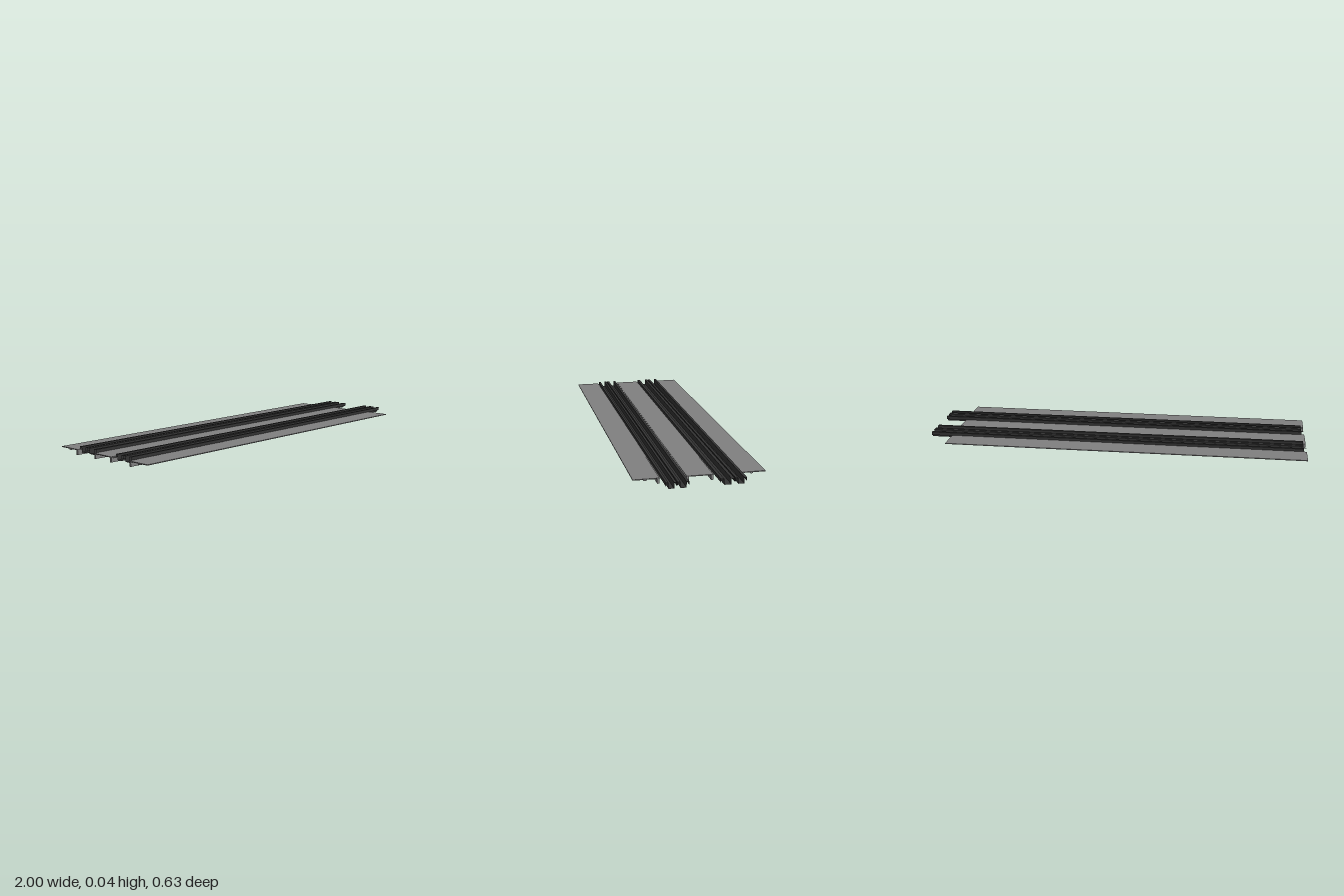
import * as THREE from 'three';

const plateGrey = new THREE.MeshStandardMaterial({ color: 0x808080, flatShading: true, side: THREE.DoubleSide });
const railDark = new THREE.MeshStandardMaterial({ color: 0x333333, flatShading: true, side: THREE.DoubleSide });

const X0 = -1, X1 = 0.887;          // extent of the fixed plates
const RAIL0 = -0.985, RAIL1 = 1;    // extent of the sliding rails

// Bar running along x, given by its y and z ranges
function bar(name, y0, y1, z0, z1) {
  const mesh = new THREE.Mesh(new THREE.BoxGeometry(X1 - X0, y1 - y0, z1 - z0), plateGrey);
  mesh.position.set((X0 + X1) / 2, (y0 + y1) / 2, (z0 + z1) / 2);
  mesh.name = name;
  return mesh;
}

// Thin sheet: a [z, y] profile swept along x, with open ends
function sweptSheet(name, profile, x0, x1, material) {
  const pos = [], index = [];
  profile.forEach(([z, y], i) => {
    pos.push(x0, y, z, x1, y, z);
    if (i) {
      const a = 2 * i - 2;
      index.push(a, a + 2, a + 1, a + 1, a + 2, a + 3);
    }
  });
  const geo = new THREE.BufferGeometry();
  geo.setAttribute('position', new THREE.Float32BufferAttribute(pos, 3));
  geo.setIndex(index);
  geo.computeVertexNormals();
  const mesh = new THREE.Mesh(geo, material);
  mesh.name = name;
  return mesh;
}

// Channel with a sunken floor between two raised, turned-down lips
function channel(z0, z1) {
  const lip = (z1 - z0) * 0.24, top = 0.041, floor = 0.013, edge = 0.024;
  return sweptSheet('railChannel', [
    [z0, edge], [z0, top], [z0 + lip, top], [z0 + lip, floor],
    [z1 - lip, floor], [z1 - lip, top], [z1, top], [z1, edge],
  ], RAIL0, RAIL1, railDark);
}

export function createModel() {
  const model = new THREE.Group();
  model.name = 'slidingRailBed';

  // Middle plate with a flange down each edge
  const middle = new THREE.Group();
  middle.name = 'middlePlate';
  middle.add(bar('deck', 0.023, 0.027, -0.063, 0.063));
  for (const s of [-1, 1]) middle.add(bar('flange', 0, 0.023, s * 0.058 - 0.005, s * 0.058 + 0.005));
  model.add(middle);

  // Outer plates, each with an inner flange and a thin strip beneath
  for (const s of [1, -1]) {
    const outer = new THREE.Group();
    outer.name = s > 0 ? 'frontPlate' : 'backPlate';
    const inner = s * 0.19, rim = s * 0.315;
    outer.add(bar('deck', 0.023, 0.027, Math.min(inner, rim), Math.max(inner, rim)));
    const f = s > 0 ? 0.196 : -0.194;
    outer.add(bar('flange', 0, 0.023, f - 0.005, f + 0.005));
    const c = s > 0 ? 0.258 : -0.248;
    outer.add(bar('understrip', 0.018, 0.023, c - 0.0065, c + 0.0065));
    model.add(outer);
  }

  // Thin filler sheets closing the gaps beside and between the rail channels
  const gaps = [[0.063, 0.08], [0.129, 0.138], [0.183, 0.19], [-0.139, -0.13], [-0.07, -0.063]];
  for (const [z0, z1] of gaps) {
    model.add(sweptSheet('fillerSheet', [[z0, 0.025], [z1, 0.025]], X0, X1, plateGrey));
  }

  // Two sliding rails, each a pair of channels, in the gaps between plates
  const rails = {
    frontRail: [[0.078, 0.131], [0.136, 0.185]],
    backRail: [[-0.19, -0.137], [-0.132, -0.068]],
  };
  for (const [name, channels] of Object.entries(rails)) {
    const rail = new THREE.Group();
    rail.name = name;
    for (const [z0, z1] of channels) rail.add(channel(z0, z1));
    model.add(rail);
  }
  return model;
}
